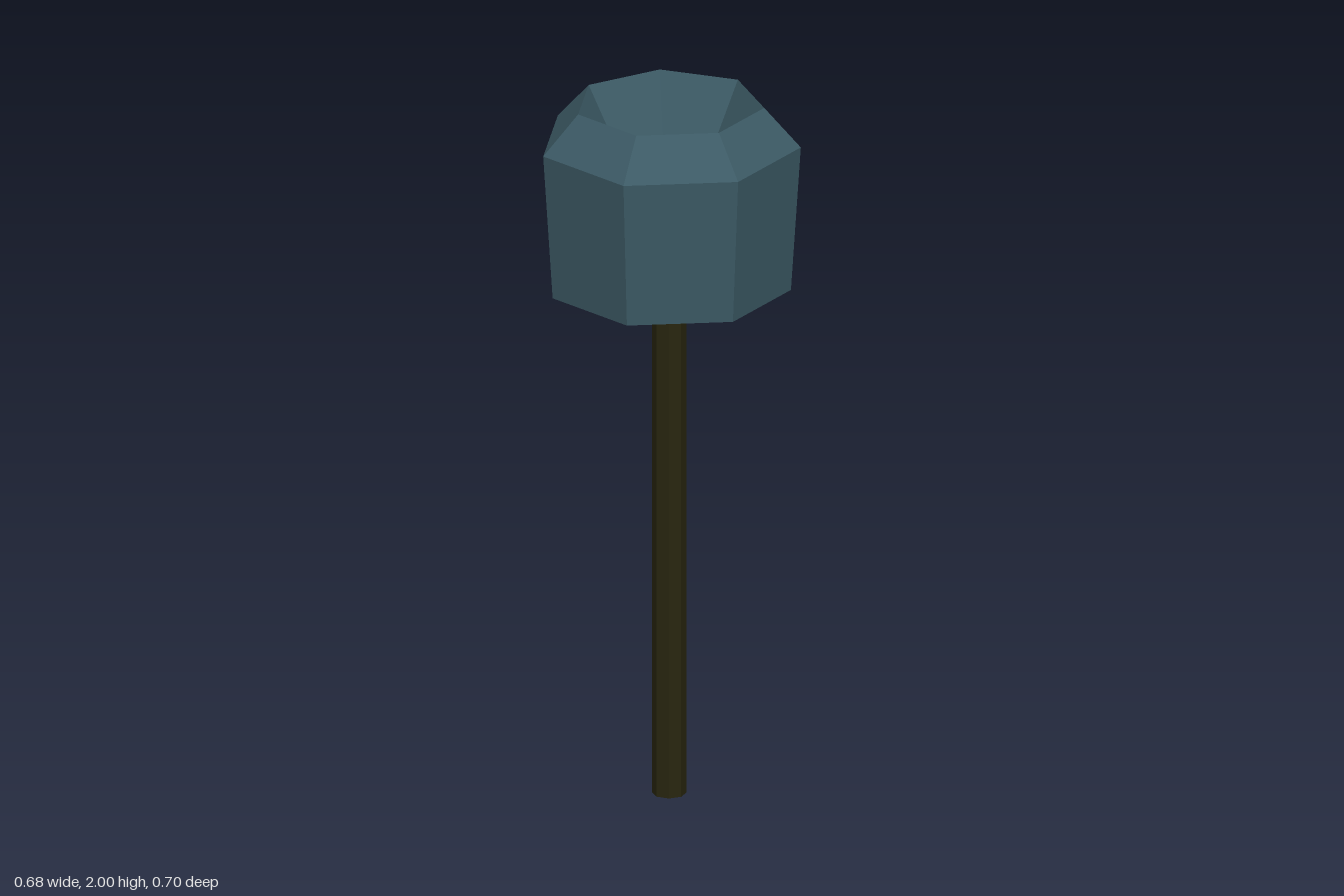
import * as THREE from 'three';

const AXIS_X = -0.018;

export function createModel() {
  const group = new THREE.Group();
  const slate = new THREE.MeshStandardMaterial({ color: 0x3c5a65, flatShading: true });
  slate.name = 'slateBlue';
  const olive = new THREE.MeshStandardMaterial({ color: 0x28260f, flatShading: true });
  olive.name = 'darkOlive';

  // Seven-sided head: shallow underside, flared wall, bevel and a conical hollow
  const profile = [
    [0, 1.45], [0.333, 1.475], [0.36, 1.89], [0.26, 2], [0, 1.53],
  ].map(([r, y]) => new THREE.Vector2(r, y));
  // phiStart puts a corner on +x
  const head = new THREE.Mesh(new THREE.LatheGeometry(profile, 7, Math.PI / 2), slate);
  head.name = 'head';
  head.position.x = AXIS_X;

  // Slim eight-sided pole
  const pole = new THREE.Mesh(new THREE.CylinderGeometry(0.047, 0.047, 1.46, 8), olive);
  pole.name = 'pole';
  pole.position.set(AXIS_X, 0.73, 0);

  group.add(head, pole);
  return group;
}
